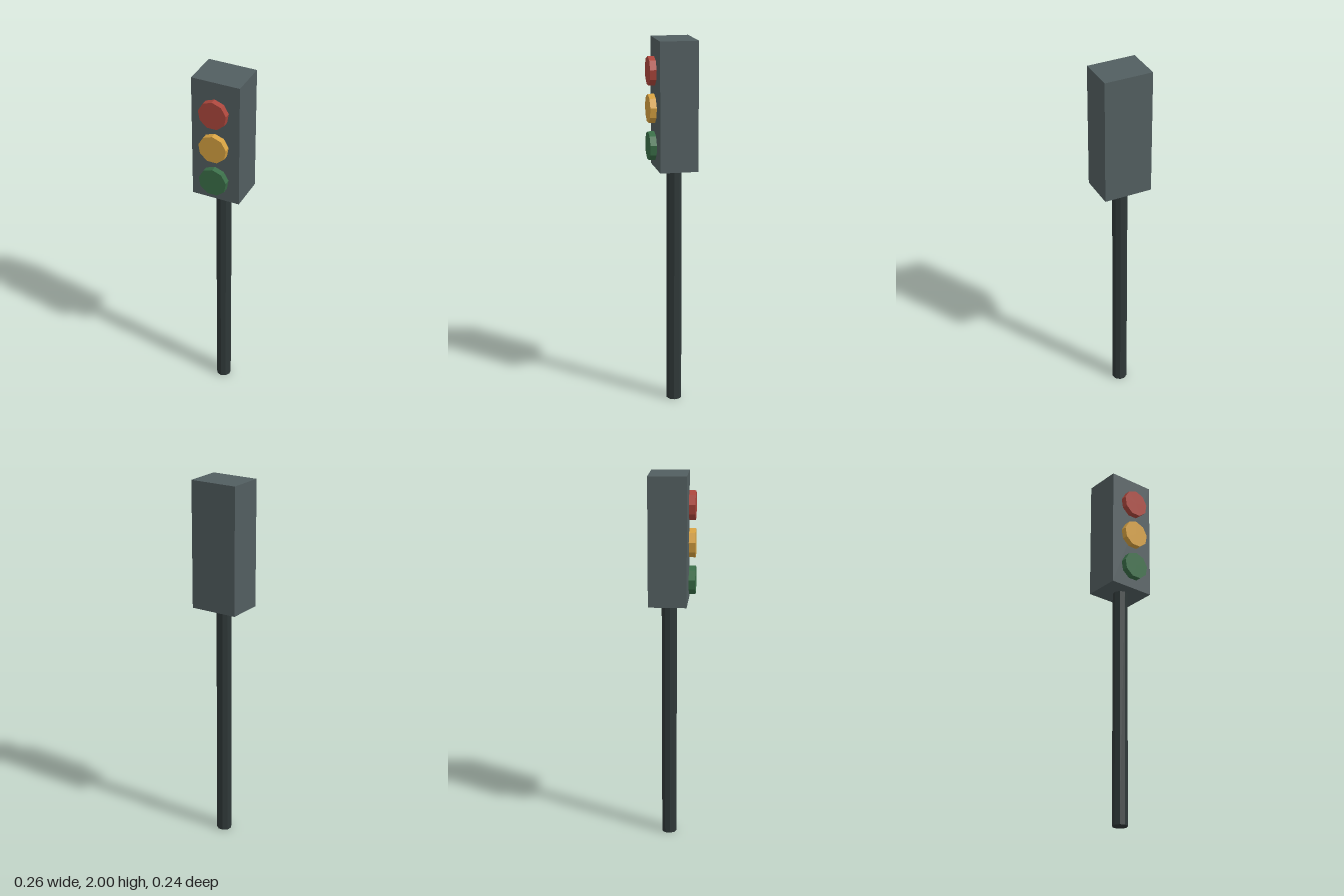
import * as THREE from 'three';

const material = (name, color) => {
  const m = new THREE.MeshStandardMaterial({ color });
  m.name = name;
  return m;
};

// Flat-faced nine-sided cylinder
const nineSided = (radius, length) => {
  const geometry = new THREE.CylinderGeometry(radius, radius, length, 9).toNonIndexed();
  geometry.computeVertexNormals();
  return geometry;
};

export function createModel() {
  const model = new THREE.Group();
  model.name = 'trafficLight';

  const add = (name, geometry, mat, x, y, z) => {
    const mesh = new THREE.Mesh(geometry, mat);
    mesh.name = name;
    mesh.position.set(x, y, z);
    model.add(mesh);
  };

  // Pole, up to the underside of the housing
  add('pole', nineSided(0.041, 1.317), material('darkPole', 0x2f3838), 0, 0.6585, -0.02);

  // Signal housing
  add('housing', new THREE.BoxGeometry(0.262, 0.683, 0.202),
    material('greyHousing', 0x525e60), 0, 1.6585, -0.021);

  // Three lamps standing just clear of the housing front
  const lamps = [
    ['redLamp', 0xac463c, 1.835],
    ['amberLamp', 0xd6a141, 1.638],
    ['greenLamp', 0x3a6e48, 1.44],
  ];
  for (const [name, color, y] of lamps) {
    const geometry = nineSided(0.077, 0.034).rotateX(-Math.PI / 2);
    add(name, geometry, material(name, color), 0, y, 0.104);
  }

  return model;
}
